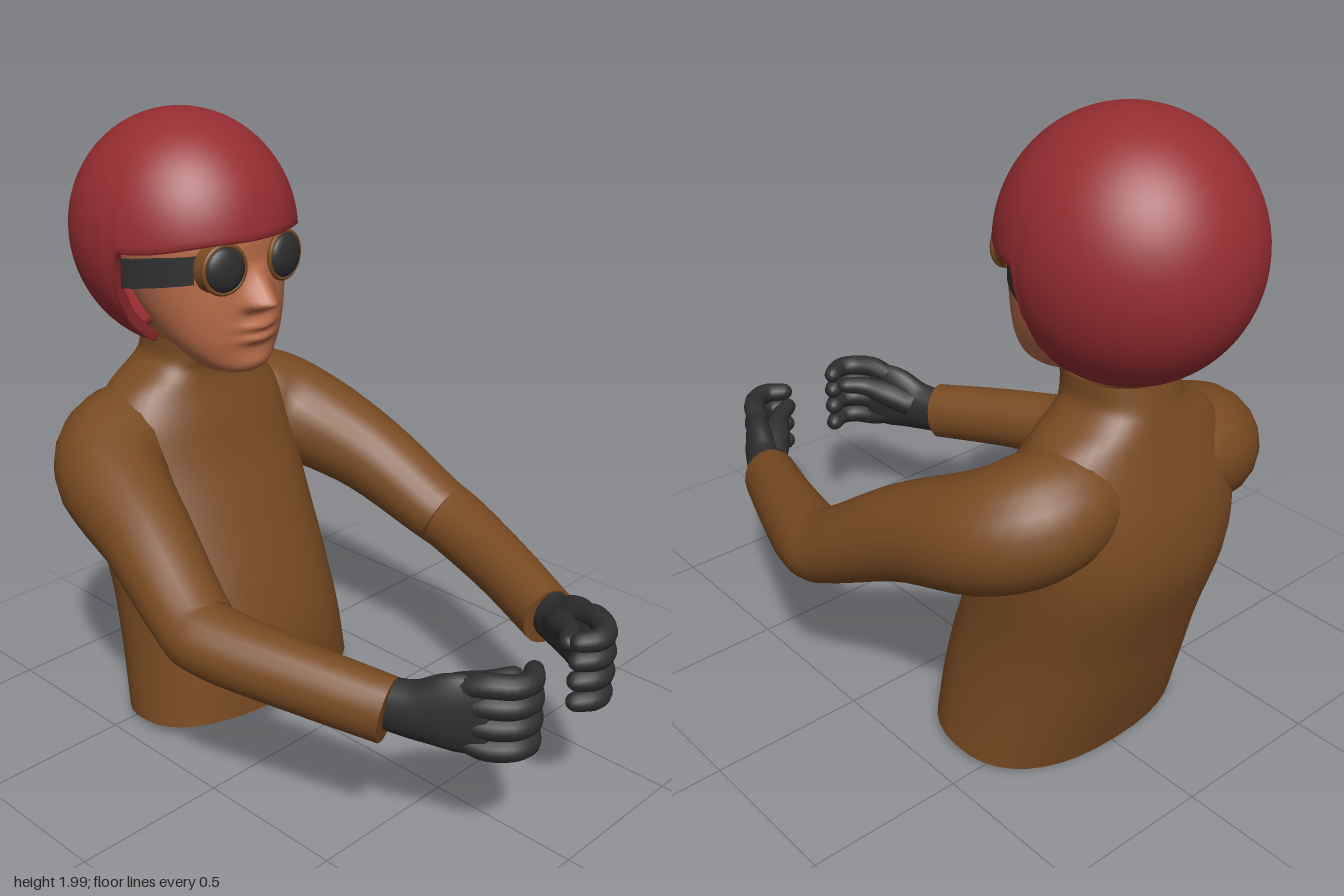
import * as THREE from 'three';
import { toCreasedNormals } from 'three/addons/utils/BufferGeometryUtils.js';

const V = (x, y, z) => new THREE.Vector3(x, y, z);
const mat = (name, color, side = THREE.FrontSide) => {
  const m = new THREE.MeshStandardMaterial({ color, side });
  m.name = name;
  return m;
};

// Skin a list of closed rings (equal point counts) into a surface
function loft(rings) {
  const n = rings[0].length, pos = [], idx = [];
  rings.forEach(r => r.forEach(p => pos.push(p.x, p.y, p.z)));
  for (let i = 0; i < rings.length - 1; i++) {
    for (let j = 0; j < n; j++) {
      const a = i * n + j, b = i * n + (j + 1) % n;
      idx.push(a, b, a + n, b, b + n, a + n);
    }
  }
  const g = new THREE.BufferGeometry();
  g.setAttribute('position', new THREE.Float32BufferAttribute(pos, 3));
  g.setIndex(idx);
  g.computeVertexNormals();
  return g;
}

const spline = pts => new THREE.CatmullRomCurve3(pts, false, 'catmullrom', 0.5);

// Upright body from sections [y, halfWidth, zFront, zBack]; bend(p, a, t) reshapes it
function body(sections, cx, rows, sides, power, bend) {
  const A = spline(sections.map(s => V(s[0], s[1], 0)));
  const B = spline(sections.map(s => V(s[0], s[2], s[3])));
  const pw = v => Math.sign(v) * Math.abs(v) ** power;
  const rings = [];
  for (let i = 0; i <= rows; i++) {
    const t = i / rows, p = A.getPoint(t), q = B.getPoint(t), ring = [];
    for (let j = 0; j < sides; j++) {
      const a = j / sides * Math.PI * 2;
      const v = V(cx + p.y * pw(Math.sin(a)), p.x, (q.y + q.z) / 2 + (q.y - q.z) / 2 * pw(Math.cos(a)));
      bend(v, a, t);
      ring.push(v);
    }
    rings.push(ring);
  }
  return loft(rings);
}

// Limb along points [x, y, z, radiusAcross, radiusUp]; end: 'flat' or 'round'
function limb(points, { sides = 16, rows = 24, end = 'flat', phase = 0 } = {}) {
  const path = spline(points.map(p => V(p[0], p[1], p[2])));
  const radii = spline(points.map(p => V(p[3], p[4] ?? p[3], 0)));
  const rings = [];
  const add = (t, k, push = 0) => {
    const c = path.getPoint(t), d = path.getTangent(t), r = radii.getPoint(t);
    const s = V(0, 1, 0).cross(d).normalize(), u = d.clone().cross(s);
    c.addScaledVector(d, push * r.x);
    rings.push(Array.from({ length: sides }, (_, j) => {
      const a = phase + j / sides * Math.PI * 2;
      return c.clone().addScaledVector(s, Math.cos(a) * r.x * k).addScaledVector(u, Math.sin(a) * r.y * k);
    }));
  };
  add(0, 0.001); add(0, 1);
  for (let i = 0; i <= rows; i++) add(i / rows, 1);
  if (end === 'round') for (const a of [0.5, 1, 1.3, 1.56]) add(1, Math.cos(a), Math.sin(a));
  else { add(1, 1); add(1, 0.001); }
  return loft(rings);
}

export function createModel() {
  const root = new THREE.Group();
  const cloth = mat('brown cloth', 0x784a22, THREE.DoubleSide);
  const skin = mat('skin', 0xb86c4a);
  const red = mat('red helmet', 0x962d30, THREE.DoubleSide);
  const black = mat('black leather', 0x2e2e2f);
  const add = (name, geo, m, parent = root) => {
    const mesh = new THREE.Mesh(geo, m);
    mesh.name = name;
    parent.add(mesh);
    return mesh;
  };
  const HX = -0.037; // head centre line

  // Sweater body with open, wavy hem and high collar
  add('torso', body([
    [0.045, 0.425, -0.14, -0.67], [0.25, 0.4, -0.145, -0.74], [0.45, 0.385, -0.19, -0.8],
    [0.7, 0.385, -0.29, -0.875], [0.88, 0.385, -0.37, -0.87], [1.02, 0.36, -0.42, -0.835],
    [1.12, 0.29, -0.46, -0.805], [1.18, 0.2, -0.47, -0.79], [1.22, 0.16, -0.455, -0.78],
    [1.285, 0.155, -0.45, -0.765],
  ], -0.015, 40, 40, 0.85, (v, a, t) => { v.y += 0.035 * Math.cos(a) * Math.max(0, 1 - t * 5); }), cloth);

  // Face with nose, lips and chin pushed out of the front
  const bump = (x, w) => Math.exp(-((x / w) ** 2));
  add('head', body([
    [1.208, 0.01, -0.35, -0.37], [1.213, 0.07, -0.295, -0.44], [1.235, 0.115, -0.268, -0.5],
    [1.28, 0.16, -0.262, -0.55], [1.34, 0.197, -0.255, -0.62], [1.42, 0.226, -0.25, -0.7],
    [1.5, 0.245, -0.252, -0.76], [1.58, 0.26, -0.258, -0.82], [1.66, 0.262, -0.265, -0.85],
    [1.76, 0.22, -0.31, -0.85], [1.84, 0.1, -0.45, -0.75],
  ], HX, 90, 110, 0.92, (v, a) => {
    if (Math.cos(a) < 0) return;
    const x = v.x - HX, y = v.y;
    const up = THREE.MathUtils.clamp((1.57 - y) / 0.12, 0, 1);
    const nose = up * THREE.MathUtils.smoothstep(y, 1.412, 1.45);
    v.z += 0.08 * nose * bump(x, 0.028 + 0.012 * up) + 0.022 * nose * up * bump(Math.abs(x) - 0.045, 0.018);
    v.z += bump(x, 0.065) * (0.026 * bump(y - 1.373, 0.016) + 0.024 * bump(y - 1.333, 0.017));
    v.z += 0.01 * bump(x, 0.06) * bump(y - 1.255, 0.03);
  }), skin);

  // Helmet shell: inner skin, rim, outer skin, cut higher over the face
  const limit = a => {
    const d = Math.abs(a) * 180 / Math.PI;
    const brow = 1.655 - 0.035 * THREE.MathUtils.smoothstep(d, 20, 75);
    const y = THREE.MathUtils.lerp(brow, 1.275, THREE.MathUtils.smoothstep(d, 76, 85));
    return Math.acos((y - 1.62) / 0.38);
  };
  const shell = (v, k) => Array.from({ length: 180 }, (_, j) => {
    const a = (j / 180 * 2 - 1) * Math.PI, th = v * limit(a), s = Math.sin(th) * k;
    return V(HX + 0.353 * s * Math.sin(a), 1.62 + 0.38 * k * Math.cos(th), -0.6 + 0.38 * s * Math.cos(a));
  });
  const rings = [];
  for (let i = 1; i <= 30; i++) rings.push(shell(i / 30, 0.91));
  rings.push(shell(1.012, 0.935), shell(1.012, 0.975));
  for (let i = 30; i >= 0; i--) rings.push(shell(Math.max(i / 30, 0.001), 1));
  add('helmet', loft(rings), red);

  // Goggles: strap around the face and two round eyepieces
  const goggles = new THREE.Group();
  goggles.name = 'goggles';
  root.add(goggles);
  const strap = [];
  for (let d = -100; d <= 100; d += 10) {
    const a = d * Math.PI / 180;
    strap.push([HX + 0.3 * Math.sin(a), 1.575 - 0.045 * (1 - Math.cos(a)), -0.6 + 0.325 * Math.cos(a),
      0.016, Math.abs(d) < 25 ? 0.04 : 0.062]);
  }
  add('strap', toCreasedNormals(limb(strap, { sides: 4, rows: 60, phase: Math.PI / 4 }), 0.7), black, goggles);
  for (const s of [-1, 1]) {
    const eye = new THREE.Group();
    eye.name = s > 0 ? 'leftEyepiece' : 'rightEyepiece';
    eye.position.set(HX + s * 0.121, 1.57, -0.285);
    eye.rotation.y = s * 0.15;
    goggles.add(eye);
    add('rim', new THREE.CylinderGeometry(0.074, 0.084, 0.045, 32).rotateX(Math.PI / 2), cloth, eye);
    add('rimEdge', new THREE.TorusGeometry(0.074, 0.008, 8, 32).translate(0, 0, 0.02), cloth, eye);
    add('lens', new THREE.SphereGeometry(0.07, 28, 16).scale(1, 1, 0.4).translate(0, 0, 0.022), black, eye);
  }

  // Sleeves and gloved, curled hands, mirrored
  for (const s of [-1, 1]) {
    const side = s > 0 ? 'left' : 'right';
    const flip = (pts, dx = 0) => pts.map(p => [s * p[0] + dx, ...p.slice(1)]);
    add(side + 'Sleeve', limb(flip([
      [0.1, 1.0, -0.66, 0.13, 0.13], [0.28, 0.95, -0.655, 0.185, 0.175], [0.41, 0.885, -0.55, 0.18, 0.175],
      [0.49, 0.785, -0.28, 0.145, 0.142], [0.55, 0.64, -0.02, 0.125, 0.115], [0.555, 0.6, 0.09, 0.118, 0.11],
      [0.47, 0.56, 0.36, 0.1, 0.105], [0.372, 0.52, 0.615, 0.09, 0.1],
    ]), { sides: 20, rows: 36 }), cloth);

    const hand = new THREE.Group();
    hand.name = side + 'Glove';
    root.add(hand);
    const part = (name, pts, opt) => add(name, limb(flip(pts, 0.013), opt), black, hand);
    part('palm', [
      [0.375, 0.53, 0.59, 0.062, 0.08], [0.34, 0.53, 0.68, 0.06, 0.092], [0.3, 0.545, 0.77, 0.052, 0.122],
      [0.262, 0.55, 0.845, 0.036, 0.125],
    ], { end: 'round' });
    for (const [y, r] of [[0.65, 0.034], [0.588, 0.036], [0.522, 0.036], [0.452, 0.034]]) {
      part('finger', [
        [0.285, y * 0.8 + 0.11, 0.79, r], [0.26, y, 0.855, r * 1.08], [0.215, y, 0.915, r * 1.05],
        [0.16, y, 0.932, r], [0.108, y, 0.902, r * 0.88],
      ], { sides: 12, rows: 14, end: 'round' });
    }
    part('thumb', [
      [0.3, 0.55, 0.68, 0.045], [0.245, 0.585, 0.745, 0.046], [0.19, 0.61, 0.81, 0.034], [0.128, 0.62, 0.848, 0.028],
    ], { sides: 12, rows: 14, end: 'round' });
  }
  return root;
}
